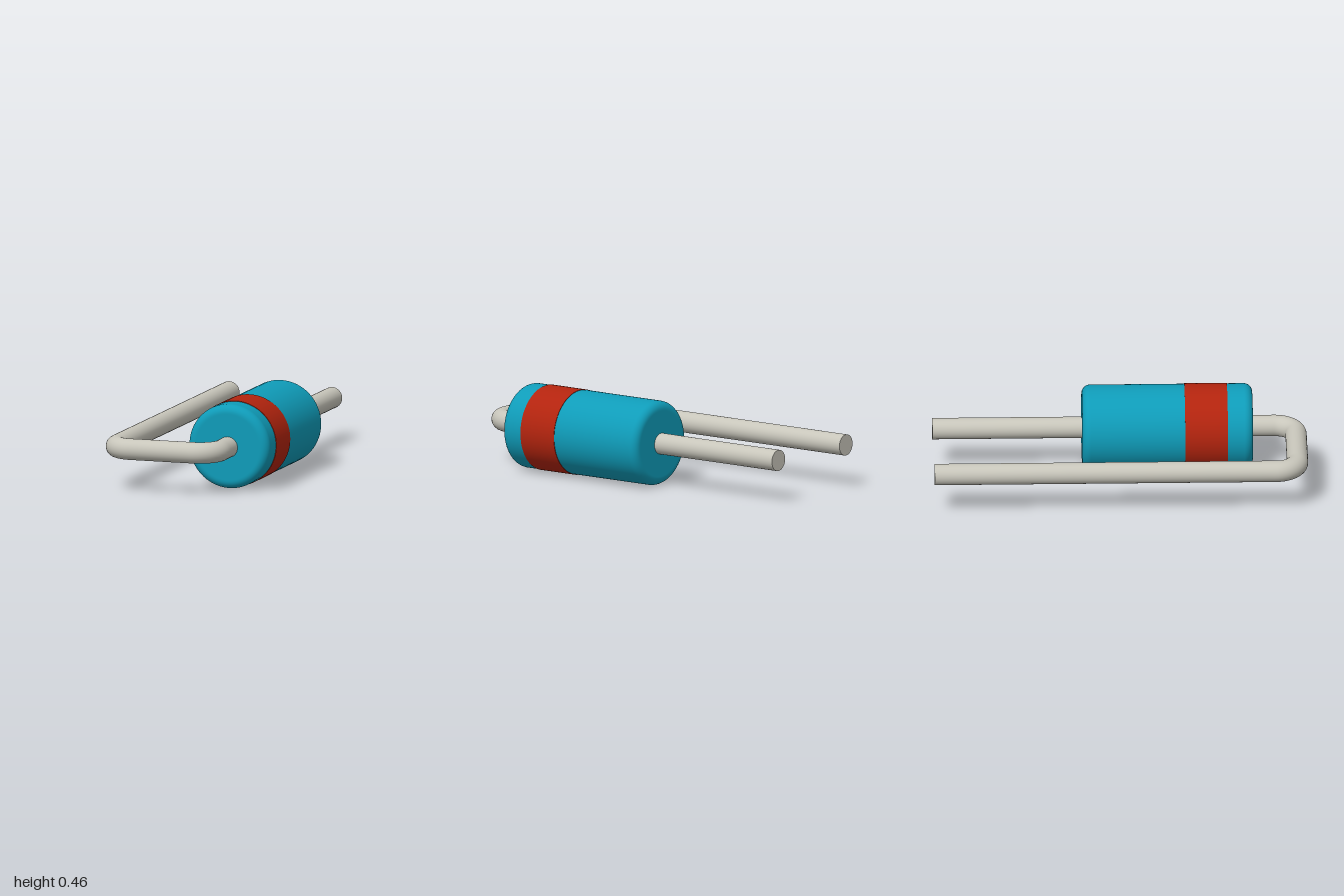
import * as THREE from 'three';

const Y = 0.231;          // height of the common axis
const BODY_X = 0.203;     // body and straight lead
const RETURN_X = -0.378;  // lead that folds back
const WIRE_R = 0.057;
const BEND_R = 0.115;
const FRONT_Z = 0.943;    // centre line of the cross run
const BACK_Z = -1;

const material = (name, color) => {
  const m = new THREE.MeshStandardMaterial({ color });
  m.name = name;
  return m;
};

export function createModel() {
  const blue = material('body blue', 0x0f9cb9);
  const red = material('band red', 0xb3240e);
  const metal = material('lead metal', 0xc8c6bb);
  const group = new THREE.Group();

  const add = (name, geometry, mat, x = 0, y = 0, z = 0) => {
    const mesh = new THREE.Mesh(geometry, mat);
    mesh.name = name;
    mesh.position.set(x, y, z);
    group.add(mesh);
    return mesh;
  };

  // Cylindrical body with rounded rims, turned about z
  const z0 = -0.2, z1 = 0.712, r = 0.2275, fillet = 0.045, steps = 10;
  const profile = [new THREE.Vector2(0, z0), new THREE.Vector2(r - fillet - 0.005, z0)];
  for (const [cz, start] of [[z0 + fillet, -Math.PI / 2], [z1 - fillet, 0]]) {
    for (let i = 0; i <= steps; i++) {
      const a = start + (i / steps) * Math.PI / 2;
      profile.push(new THREE.Vector2(r - fillet + fillet * Math.cos(a), cz + fillet * Math.sin(a)));
    }
  }
  profile.push(new THREE.Vector2(r - fillet - 0.005, z1), new THREE.Vector2(0, z1));
  add('body', new THREE.LatheGeometry(profile, 72).rotateX(Math.PI / 2), blue, BODY_X, Y);

  // Polarity band, just proud of the body
  add('band', new THREE.CylinderGeometry(0.23, 0.23, 0.228, 72).rotateX(Math.PI / 2),
    red, BODY_X, Y, 0.463);

  // One continuous lead: through the body, across the front, and back again
  const p = (x, z) => new THREE.Vector3(x, Y, z);
  const k = BEND_R * (1 - 0.5523);
  const bendZ = FRONT_Z - BEND_R;
  const path = new THREE.CurvePath();
  path.add(new THREE.LineCurve3(p(BODY_X, BACK_Z), p(BODY_X, bendZ)));
  path.add(new THREE.CubicBezierCurve3(p(BODY_X, bendZ), p(BODY_X, FRONT_Z - k),
    p(BODY_X - k, FRONT_Z), p(BODY_X - BEND_R, FRONT_Z)));
  path.add(new THREE.LineCurve3(p(BODY_X - BEND_R, FRONT_Z), p(RETURN_X + BEND_R, FRONT_Z)));
  path.add(new THREE.CubicBezierCurve3(p(RETURN_X + BEND_R, FRONT_Z), p(RETURN_X + k, FRONT_Z),
    p(RETURN_X, FRONT_Z - k), p(RETURN_X, bendZ)));
  path.add(new THREE.LineCurve3(p(RETURN_X, bendZ), p(RETURN_X, BACK_Z)));
  add('lead', new THREE.TubeGeometry(path, 300, WIRE_R, 32), metal);

  // Flat cut ends
  for (const x of [BODY_X, RETURN_X]) {
    add('leadEnd', new THREE.CircleGeometry(WIRE_R, 32).rotateY(Math.PI), metal, x, Y, BACK_Z);
  }

  return group;
}
